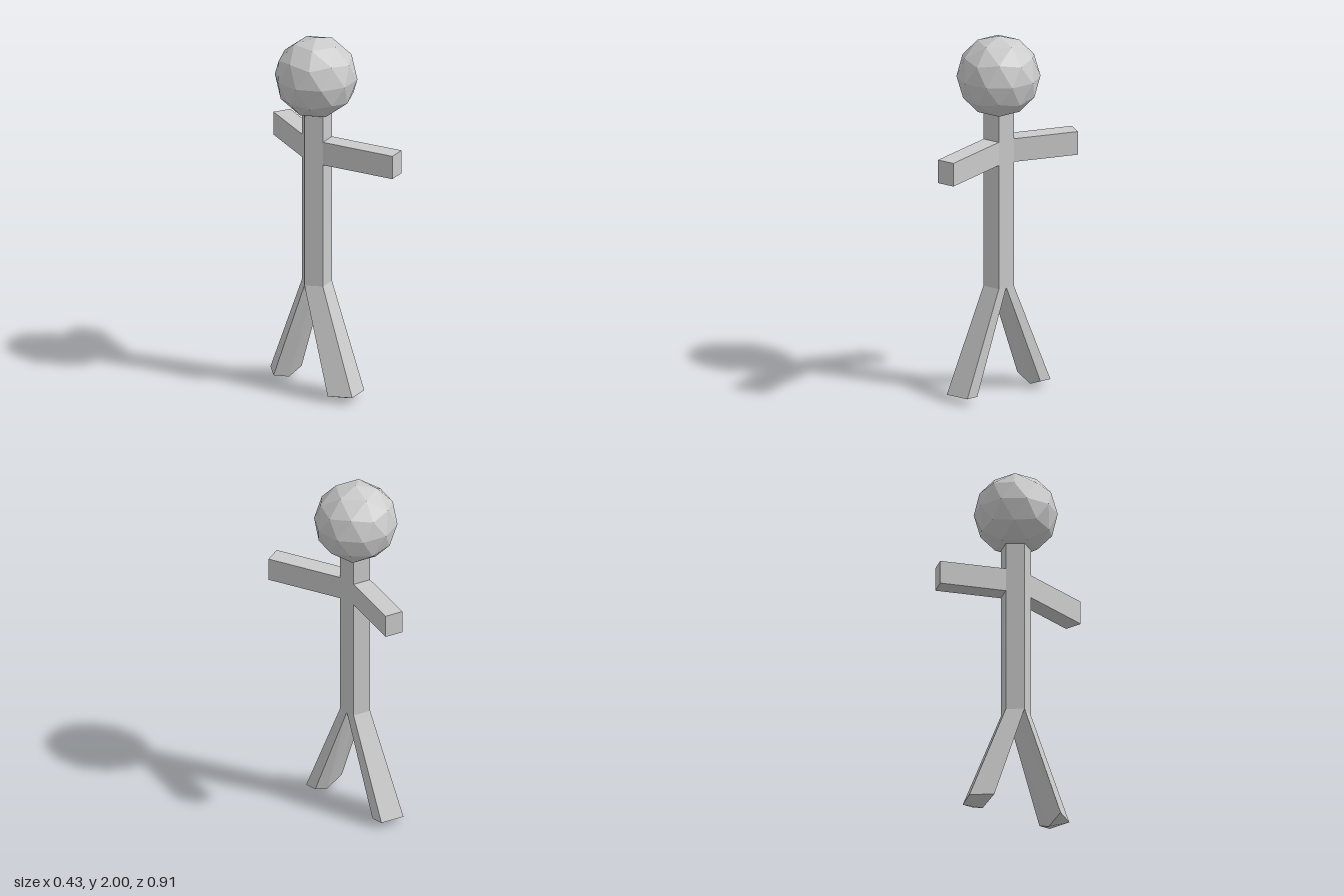
import * as THREE from 'three';

const R = 0.085;                          // body pentagon radius
const APOTHEM = R * Math.cos(Math.PI / 5);
const SIDE = 2 * R * Math.sin(Math.PI / 5);
const ZC = -0.032;                        // the figure's own middle plane

export function createModel() {
  const group = new THREE.Group();
  const material = new THREE.MeshStandardMaterial({ color: 0xcccccc, flatShading: true });
  const add = (name, geometry) => {
    const mesh = new THREE.Mesh(geometry, material);
    mesh.name = name;
    mesh.position.z = ZC;
    group.add(mesh);
    return mesh;
  };

  // Head: faceted ball with a corner pointing straight up
  const ball = new THREE.IcosahedronGeometry(0.224, 1);
  ball.rotateZ(-Math.atan(2 / (1 + Math.sqrt(5))));
  add('head', ball).position.y = 1.776;

  // Body: five-sided post, flat face towards +x
  add('body', new THREE.CylinderGeometry(R, R, 1, 5, 1, false, -Math.PI / 2)).position.y = 1.1;

  // Arms: square out from the two slanted side faces
  const arm = (name, sign, length) => {
    const geometry = new THREE.BoxGeometry(length, 0.13, SIDE);
    geometry.translate(APOTHEM + length / 2, 0, 0);
    const mesh = add(name, geometry);
    mesh.position.y = 1.365;
    mesh.rotation.y = -sign * Math.PI * 0.4;
  };
  arm('frontArm', 1, 0.423);
  arm('backArm', -1, 0.362);

  // Legs: half of the body section, swept outwards and widened
  const section = [
    [0, 0], [APOTHEM, 0], [APOTHEM, SIDE / 2],
    [-R * Math.cos(Math.PI * 0.4), R * Math.sin(Math.PI * 0.4)], [-R, 0],
  ];
  const leg = (name, sign) => {
    const n = section.length;
    const top = section.map(([x, z]) => [x, 0.605, sign * z]);
    const foot = section.map(([x, z], i) =>
      [x * 1.33, i ? 0.038 : 0, sign * (0.211 + z * 1.33)]);
    const index = [];
    const triangle = (a, b, c) => index.push(...(sign > 0 ? [a, b, c] : [a, c, b]));
    for (let i = 0; i < n; i++) {
      const j = (i + 1) % n;
      triangle(i, j, n + i);
      triangle(j, n + j, n + i);
      if (i > 0 && i < n - 1) triangle(n, n + i, n + j); // sole
    }
    const geometry = new THREE.BufferGeometry();
    geometry.setAttribute('position',
      new THREE.Float32BufferAttribute([...top, ...foot].flat(), 3));
    geometry.setIndex(index);
    const faceted = geometry.toNonIndexed();
    faceted.computeVertexNormals();
    add(name, faceted);
  };
  leg('frontLeg', 1);
  leg('backLeg', -1);

  return group;
}
